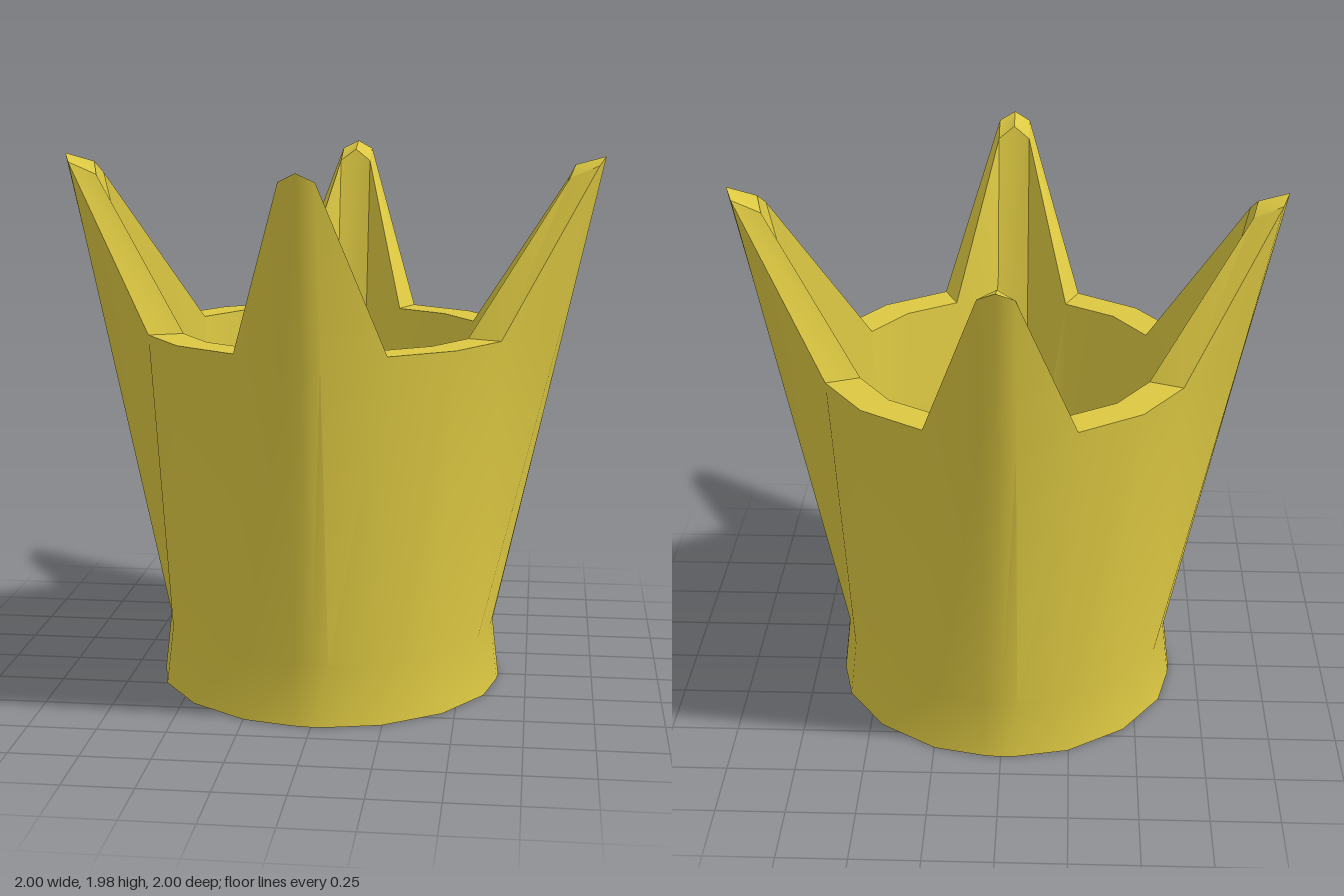
import * as THREE from 'three';
import { toCreasedNormals } from 'three/addons/utils/BufferGeometryUtils.js';

// A column is a closed section through the wall, as [x, y, z] corners:
// up the outside, over the top and down the inside.
const lerpAt = (a, b, y) => {
  const t = (y - a[1]) / (b[1] - a[1]);
  return [a[0] + (b[0] - a[0]) * t, y, a[2] + (b[2] - a[2]) * t];
};

const WAIST = 0.22, RIM = 1.335;

function column(outerFoot, outerWaist, outerTop, innerTop, innerFoot) {
  const [ow, iw] = [[outerWaist[0], WAIST, outerWaist[1]], [innerFoot[0], WAIST, innerFoot[1]]];
  return [
    [outerFoot[0], 0, outerFoot[1]], ow, lerpAt(ow, outerTop, RIM), outerTop,
    innerTop, lerpAt(iw, innerTop, RIM), iw, [innerFoot[0], 0, innerFoot[1]],
  ];
}

const flipX = c => c.map(([x, y, z]) => [-x, y, z]);
const swapXZ = c => c.map(([x, y, z]) => [z, y, x]);
const quarterTurn = c => c.map(([x, y, z]) => [z, y, -x]);

function crownGeometry() {
  // Point centre, point shoulder, start of the low rim, middle of the low rim
  const tip = column([0, 0.645], [0, 0.62], [0, 1.975, 1], [0, 1.945, 0.89], [0, 0.5]);
  const shoulder = column([0.06, 0.64], [0.06, 0.615], [0.06, 1.945, 0.975], [0.06, 1.9, 0.87], [0.06, 0.5]);
  const valley = column([0.247, 0.597], [0.237, 0.573], [0.265, RIM, 0.64], [0.215, RIM, 0.52], [0.2, 0.47]);
  const middle = column([0.455, 0.455], [0.438, 0.438], [0.49, RIM, 0.49], [0.4, RIM, 0.4], [0.36, 0.36]);

  // One quarter, turned four times
  let quarter = [flipX(shoulder), tip, shoulder, valley, middle, swapXZ(valley)];
  const columns = [];
  for (let k = 0; k < 4; k++) {
    columns.push(...quarter);
    quarter = quarter.map(quarterTurn);
  }

  // Skin neighbouring columns, skipping the collapsed faces at the low rim
  const positions = [];
  const same = (p, q) => Math.hypot(p[0] - q[0], p[1] - q[1], p[2] - q[2]) < 1e-6;
  const triangle = (a, b, c) => {
    if (!same(a, b) && !same(b, c) && !same(c, a)) positions.push(...a, ...b, ...c);
  };
  columns.forEach((left, i) => {
    const right = columns[(i + 1) % columns.length];
    for (let j = 0; j < left.length; j++) {
      const n = (j + 1) % left.length;
      triangle(left[j], right[j], right[n]);
      triangle(left[j], right[n], left[n]);
    }
  });
  const geometry = new THREE.BufferGeometry();
  geometry.setAttribute('position', new THREE.Float32BufferAttribute(positions, 3));
  return toCreasedNormals(geometry, 0.6);
}

export function createModel() {
  const group = new THREE.Group();
  group.name = 'crown';
  const band = new THREE.Mesh(crownGeometry(), new THREE.MeshStandardMaterial({ color: 0xdcc842 }));
  band.name = 'crownBandWithPoints';
  group.add(band);
  return group;
}
